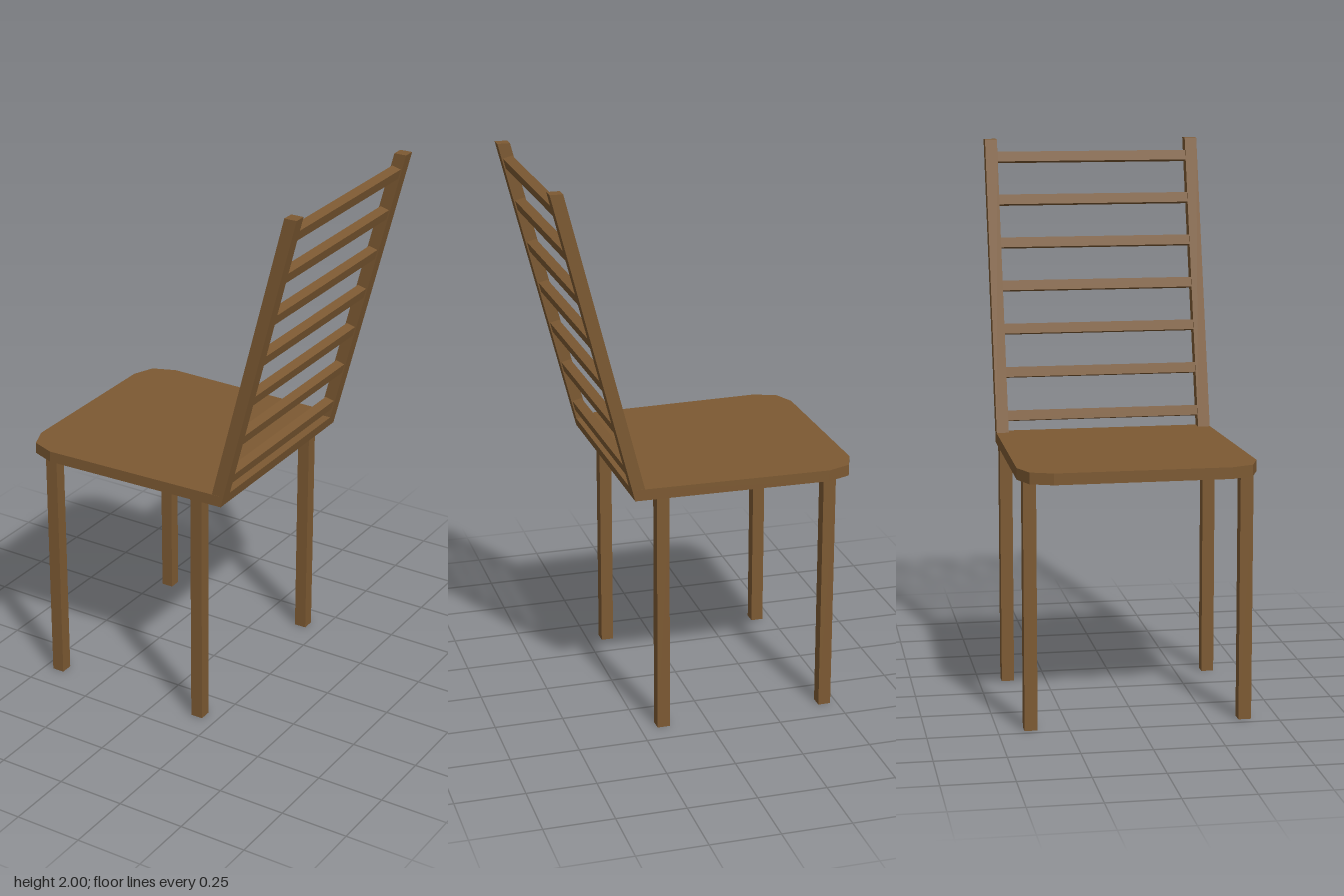
import * as THREE from 'three';

const SLOPE = 0.256;          // sideways run of the backrest per unit of height
const SEAT_LOW = 0.889, SEAT_TOP = 0.93;
const SEAT_BACK = 0.271;      // rear edge of the seat at its underside
const POST = 0.046, SIDE_Z = 0.3825;

export function createModel() {
  const wood = new THREE.MeshStandardMaterial({ color: 0x7c5932 });
  wood.name = 'brown wood';
  const chair = new THREE.Group();
  chair.name = 'chair';

  const add = (name, geometry, x, y, z) => {
    const mesh = new THREE.Mesh(geometry, wood);
    mesh.name = name;
    mesh.position.set(x, y, z);
    chair.add(mesh);
    return mesh;
  };

  // Seat: tapered board with clipped front corners and a sloping rear edge
  const half = [[SEAT_BACK, 0.405], [-0.44, 0.4225], [-0.525, 0.39], [-0.5575, 0.31]];
  const outline = [...half, ...half.map(([x, z]) => [x, -z]).reverse()];
  const seat = new THREE.ExtrudeGeometry(
    new THREE.Shape(outline.map(([x, z]) => new THREE.Vector2(x, z))),
    { depth: SEAT_TOP - SEAT_LOW, bevelEnabled: false });
  seat.rotateX(-Math.PI / 2);
  const p = seat.attributes.position;
  for (let i = 0; i < p.count; i++) {
    if (p.getX(i) > 0) p.setX(i, p.getX(i) + p.getY(i) * SLOPE);
  }
  seat.computeVertexNormals();
  add('seat', seat, 0, SEAT_LOW, 0);

  // Four straight legs and two leaning posts
  const postHeight = 2 - SEAT_TOP;
  const postFoot = SEAT_BACK + (SEAT_TOP - SEAT_LOW) * SLOPE - POST / 2;
  const shear = new THREE.Matrix4().makeShear(0, 0, SLOPE, 0, 0, 0);
  for (const side of [-1, 1]) {
    const label = side > 0 ? 'left' : 'right';
    for (const [end, x] of [['Front', -0.4475], ['Rear', 0.17]]) {
      add(label + end + 'Leg', new THREE.BoxGeometry(0.046, SEAT_LOW, 0.046),
        x, SEAT_LOW / 2, side * SIDE_Z);
    }
    const post = new THREE.BoxGeometry(POST, postHeight, 0.045);
    post.translate(0, postHeight / 2, 0).applyMatrix4(shear);
    post.computeVertexNormals();
    add(label + 'BackPost', post, postFoot, SEAT_TOP, side * SIDE_Z);
  }

  // Seven rungs tilted with the backrest
  for (let i = 0; i < 7; i++) {
    const y = 0.987 + i * 0.1575;
    const rung = add('backRung' + (i + 1),
      new THREE.BoxGeometry(0.035, 0.037, 2 * SIDE_Z - 0.04),
      postFoot + (y - SEAT_TOP) * SLOPE, y, 0);
    rung.rotation.z = -Math.atan(SLOPE);
  }

  // The chair stands very slightly turned
  chair.rotation.y = 0.0125;
  chair.position.z = -0.0075;
  const model = new THREE.Group();
  model.name = 'ladderBackChair';
  model.add(chair);
  return model;
}
